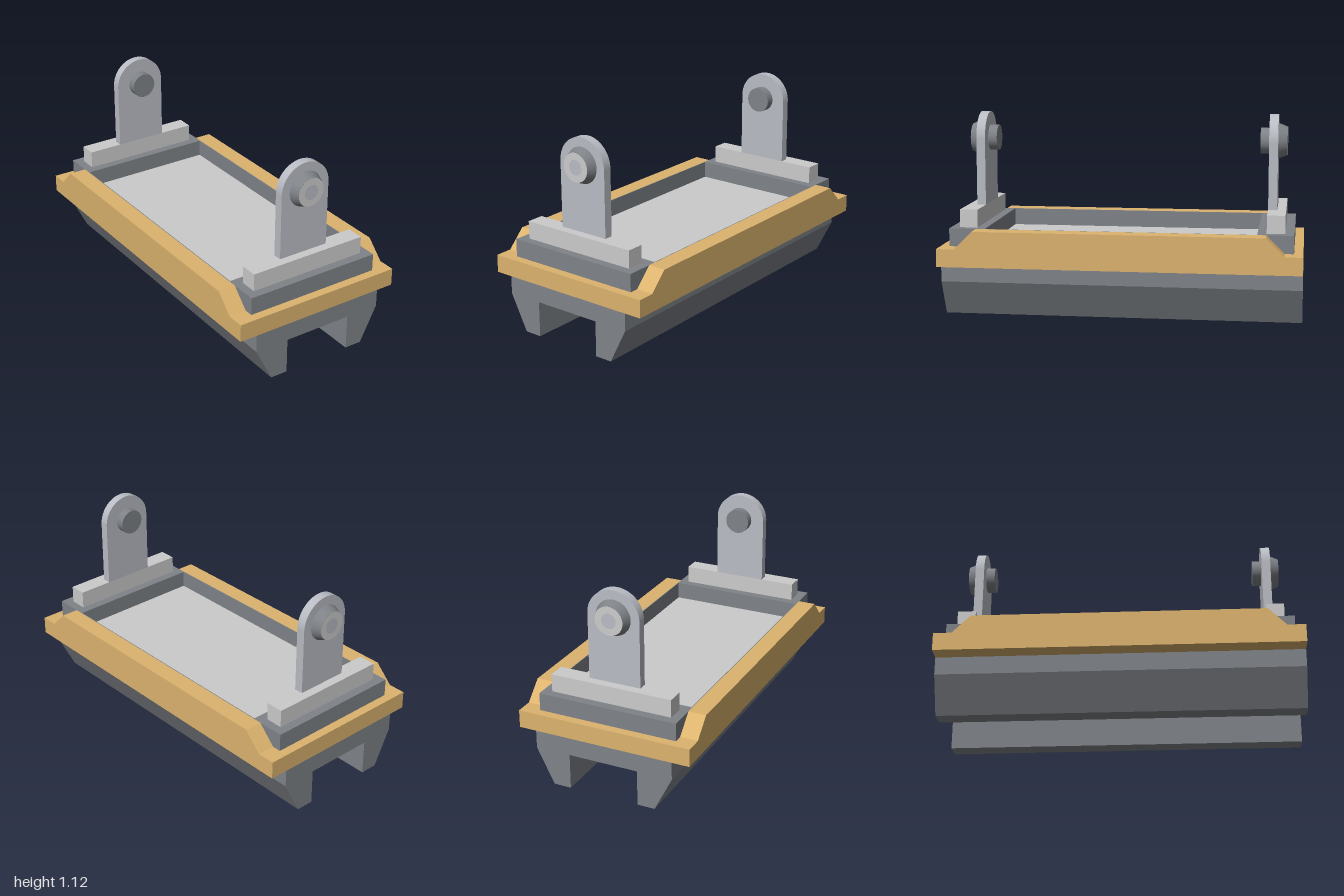
import * as THREE from 'three';

const mat = (color) => new THREE.MeshStandardMaterial({ color });

export function createModel() {
  const model = new THREE.Group();
  const light = mat(0xcccccc), mid = mat(0xb9bcc3), dark = mat(0x7f8388), gold = mat(0xdcb36e);

  const add = (parent, name, geometry, material, x = 0, y = 0, z = 0) => {
    const mesh = new THREE.Mesh(geometry, material);
    mesh.name = name;
    mesh.position.set(x, y, z);
    parent.add(mesh);
    return mesh;
  };
  // box given by its minimum and maximum corners
  const box = (parent, name, material, a, b) => add(parent, name,
    new THREE.BoxGeometry(b[0] - a[0], b[1] - a[1], b[2] - a[2]), material,
    (a[0] + b[0]) / 2, (a[1] + b[1]) / 2, (a[2] + b[2]) / 2);
  const extrude = (points, depth) => new THREE.ExtrudeGeometry(
    new THREE.Shape(points.map(([x, y]) => new THREE.Vector2(x, y))), { depth, bevelEnabled: false });

  // channelled base with two tapered runners
  add(model, 'base', extrude([[-0.4, 0.3], [-0.4, 0.2], [-0.3, 0], [-0.2, 0], [-0.2, 0.2],
    [0.2, 0.2], [0.2, 0], [0.3, 0], [0.4, 0.2], [0.4, 0.3]], 2), dark, 0, 0, -1);

  // tray slab and light floor
  box(model, 'traySlab', gold, [-0.5, 0.3, -1], [0.5, 0.4, 1]);
  box(model, 'trayFloor', light, [-0.395, 0.39, -0.75], [0.395, 0.402, 0.75]);

  // raised side rails with sloped ends, and their inner liners
  for (const s of [1, -1]) {
    const rail = extrude([[-0.9, 0.4], [0.9, 0.4], [0.8, 0.5], [-0.8, 0.5]], 0.1);
    rail.translate(0, 0, -0.05).rotateY(Math.PI / 2);
    add(model, s > 0 ? 'leftRail' : 'rightRail', rail, gold, s * 0.45);
    box(model, s > 0 ? 'leftLiner' : 'rightLiner', dark,
      [s > 0 ? 0.395 : -0.4, 0.4, -0.75], [s > 0 ? 0.4 : -0.395, 0.5, 0.75]);
  }

  // end assemblies: crossbar, mount, rounded bracket and pivot
  const pivotY = 0.972;
  const plate = new THREE.Shape();
  plate.moveTo(-0.15, 0.6);
  plate.lineTo(0.15, 0.6);
  plate.lineTo(0.15, pivotY);
  plate.absarc(0, pivotY, 0.15, 0, Math.PI, false);
  plate.closePath();
  const disc = (r0, r1, h) => new THREE.CylinderGeometry(r0, r1, h, 48).rotateX(Math.PI / 2);

  for (const end of ['front', 'back']) {
    const g = new THREE.Group();
    g.name = end + 'End';
    box(g, 'crossbar', dark, [-0.4, 0.4, 0.75], [0.4, 0.5, 0.95]);
    box(g, 'mount', light, [-0.35, 0.5, 0.8], [0.35, 0.6, 0.9]);
    add(g, 'bracket', new THREE.ExtrudeGeometry(plate,
      { depth: 0.05, bevelEnabled: false, curveSegments: 32 }), mid, 0, 0, 0.8);
    add(g, 'innerPin', disc(0.072, 0.072, 0.05), dark, 0, pivotY, 0.775);
    add(g, 'outerBoss', disc(0.08, 0.1, 0.05), dark, 0, pivotY, 0.875);
    add(g, 'bossCap', new THREE.CircleGeometry(0.08, 48), light, 0, pivotY, 0.901);
    add(g, 'capCentre', new THREE.CircleGeometry(0.042, 48), mid, 0, pivotY, 0.902);
    if (end === 'back') g.rotation.y = Math.PI;
    model.add(g);
  }
  return model;
}
